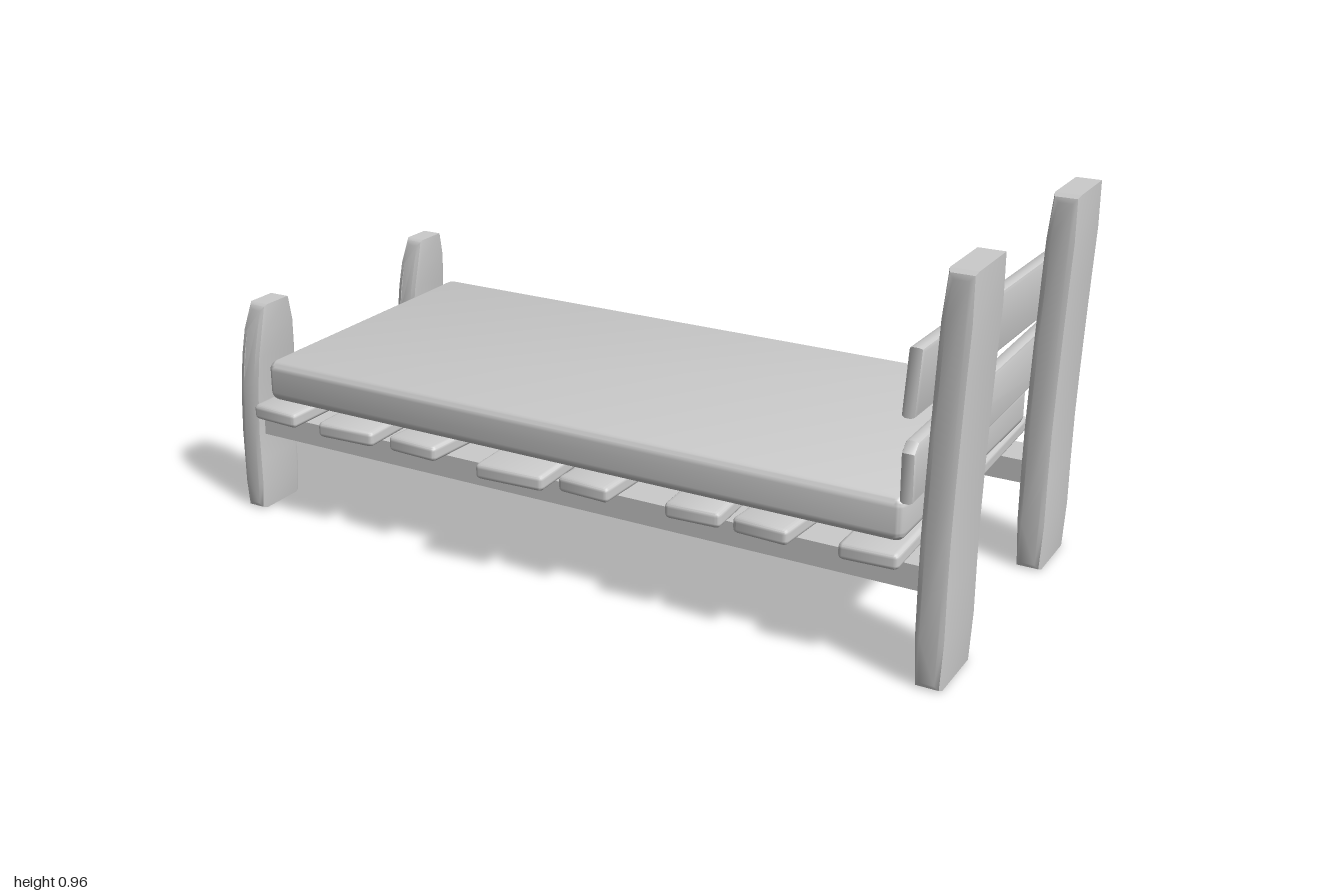
import * as THREE from 'three';
import { toCreasedNormals } from 'three/addons/utils/BufferGeometryUtils.js';
import { RoundedBoxGeometry } from 'three/addons/geometries/RoundedBoxGeometry.js';

const material = new THREE.MeshStandardMaterial({ color: 0xcccccc });

// Moves every vertex by a rule
function reshape(geometry, rule) {
  const p = geometry.attributes.position;
  const v = new THREE.Vector3();
  for (let i = 0; i < p.count; i++) {
    rule(v.fromBufferAttribute(p, i));
    p.setXYZ(i, v.x, v.y, v.z);
  }
  return geometry;
}

function part(name, geometry) {
  const mesh = new THREE.Mesh(toCreasedNormals(geometry, 0.6), material);
  mesh.name = name;
  return mesh;
}

// Outline extruded to a total depth, centred on z, with bevelled edges kept inside the outline
function slab(points, depth, bevel) {
  const shape = new THREE.Shape(points.map(([x, y]) => new THREE.Vector2(x, y)));
  const geometry = new THREE.ExtrudeGeometry(shape, {
    depth: depth - 2 * bevel, bevelThickness: bevel, bevelSize: bevel, bevelOffset: -bevel, bevelSegments: 2,
  });
  return geometry.translate(0, 0, bevel - depth / 2);
}

// Post that stands straight, then leans towards +x near its top
function post(x0, x1, height, depth, lean, bendStart, taper) {
  const steps = 8, left = [], right = [];
  for (let i = 0; i <= steps; i++) {
    const y = height * i / steps;
    const t = Math.max(0, (y - bendStart) / (height - bendStart));
    const shift = lean * Math.pow(t, 1.3);
    const nip = i === 0 || i === steps ? 0.006 : 0;
    left.push([x0 + shift + nip, y]);
    right.push([x1 + shift - nip, y]);
  }
  return reshape(slab([...right, ...left.reverse()], depth, 0.015), (v) => {
    const t = Math.max(0, (v.y - height * 0.65) / (height * 0.35));
    v.z *= 1 - taper * t * t;
    // Slightly crowned top
    if (v.y > height * 0.97) v.y -= 0.012 * Math.pow(Math.abs(v.z) / (depth / 2), 3);
  });
}

export function createModel() {
  const bed = new THREE.Group();
  bed.name = 'bed';

  // Mattress
  const mattress = part('mattress', new RoundedBoxGeometry(1.755, 0.108, 0.815, 4, 0.025));
  mattress.position.set(-0.022, 0.371, 0);
  bed.add(mattress);

  // Posts and side rails on both sides
  for (const side of [1, -1]) {
    const headPost = part('headPost', post(0.9, 0.975, 0.965, 0.19, 0.025, 0.3, 0));
    headPost.position.z = side * 0.338;
    const footPost = part('footPost', post(-1, -0.935, 0.57, 0.15, 0.032, 0.22, 0.35));
    footPost.position.z = side * 0.337;
    const rail = part('sideRail', new THREE.BoxGeometry(1.85, 0.06, 0.11));
    rail.position.set(-0.015, 0.24, side * 0.335);
    bed.add(headPost, footPost, rail);
  }

  // Crooked slats: [x at back, x at front, width, back z, front z]
  const slats = [
    [-0.85, -0.86, 0.14, -0.475, 0.44],
    [-0.65, -0.625, 0.165, -0.467, 0.45],
    [-0.355, -0.425, 0.145, -0.475, 0.442],
    [-0.15, -0.12, 0.185, -0.455, 0.472],
    [0.1, 0.07, 0.14, -0.475, 0.445],
    [0.31, 0.36, 0.14, -0.475, 0.445],
    [0.6, 0.53, 0.14, -0.475, 0.445],
    [0.77, 0.79, 0.14, -0.475, 0.445],
  ];
  slats.forEach(([xBack, xFront, width, zBack, zFront], i) => {
    const length = zFront - zBack;
    const slope = (xFront - xBack) / length;
    const skewEnd = (i % 2 ? 1 : -1) * 0.05;
    const geometry = reshape(new RoundedBoxGeometry(width, 0.04, length, 2, 0.012), (v) => {
      const x = v.x;
      v.x += slope * v.z;
      v.z -= Math.abs(x * skewEnd) + x * skewEnd;
    });
    const slat = part('slat', geometry);
    slat.position.set((xBack + xFront) / 2, 0.288, (zBack + zFront) / 2);
    bed.add(slat);
  });

  // Headboard planks, outlined in z and y, each with one clipped corner
  const planks = [
    { x: 0.883, lean: 0.06, outline: [[-0.46, 0.615], [0.475, 0.64], [0.472, 0.795], [-0.436, 0.771], [-0.463, 0.745]] },
    { x: 0.878, lean: 0, outline: [[-0.475, 0.453], [0.458, 0.44], [0.46, 0.555], [0.436, 0.576], [-0.474, 0.588]] },
  ];
  for (const { x, lean, outline } of planks) {
    const geometry = slab([...outline], 0.034, 0.01).rotateY(-Math.PI / 2);
    reshape(geometry, (v) => { v.x += x + lean * (v.y - 0.7); });
    bed.add(part('headboardPlank', geometry));
  }

  return bed;
}
